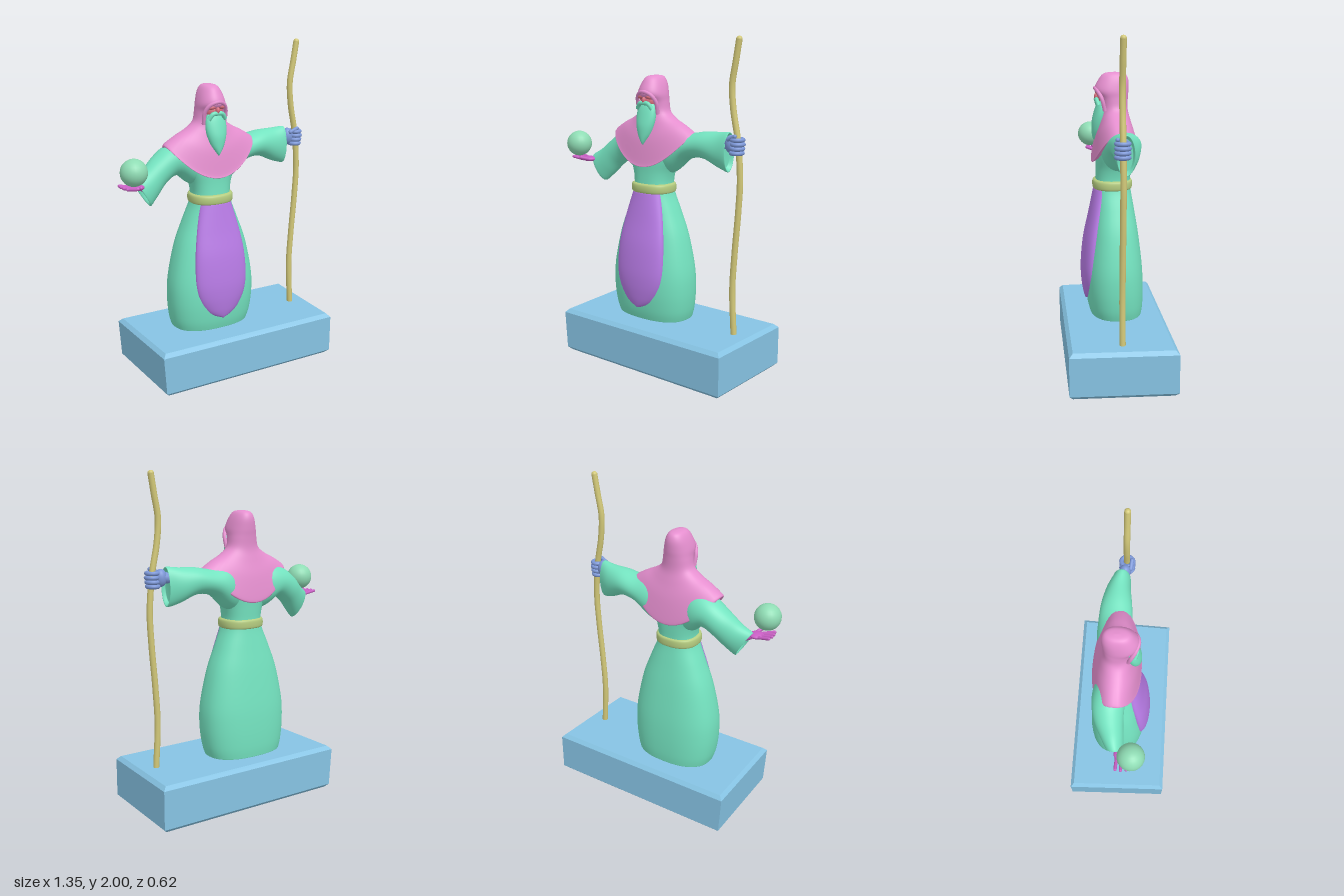
import * as THREE from 'three';

const V = (x, y, z) => new THREE.Vector3(x, y, z);
const MID = -0.06; // centre line of the figure
const COLORS = {
  robe: 0x74e3c0, hood: 0xe58fcf, apron: 0xb87be6, base: 0x86c3e3, staff: 0xd2c878,
  belt: 0xb5cc80, ball: 0x8fdcb4, fist: 0x7d98d8, palm: 0xc95fc4, face: 0xd8707f,
};
const MATS = Object.fromEntries(Object.entries(COLORS).map(
  ([k, color]) => [k, new THREE.MeshStandardMaterial({ color })]));

function add(parent, name, geometry, mat) {
  const m = new THREE.Mesh(geometry, MATS[mat]);
  m.name = name;
  parent.add(m);
  return m;
}

// Smooth interpolation between neighbouring key rows
function blend(keys, i, t) {
  const k = (j) => keys[Math.min(Math.max(j, 0), keys.length - 1)];
  const [a, b, c, d] = [k(i - 1), k(i), k(i + 1), k(i + 2)];
  return b.map((_, n) => b[n] + 0.5 * t * (c[n] - a[n]
    + t * (2 * a[n] - 5 * b[n] + 4 * c[n] - d[n] + t * (3 * (b[n] - c[n]) + d[n] - a[n]))));
}

// Closed skin through key rows; ring(row, angle) gives a point
function loft(keys, ring, sides = 40, steps = 5) {
  const rows = [];
  for (let i = 0; i < keys.length - 1; i++)
    for (let s = 0; s < steps; s++) rows.push(blend(keys, i, s / steps));
  rows.push(keys[keys.length - 1]);
  const pts = [], idx = [];
  for (const row of rows)
    for (let j = 0; j < sides; j++) pts.push(ring(row, (j / sides) * Math.PI * 2));
  for (let i = 0; i < rows.length - 1; i++)
    for (let j = 0; j < sides; j++) {
      const a = i * sides + j, b = i * sides + (j + 1) % sides;
      idx.push(a, b, a + sides, b, b + sides, a + sides);
    }
  // End caps
  for (const [start, flip] of [[0, true], [(rows.length - 1) * sides, false]]) {
    const c = V(0, 0, 0);
    for (let j = 0; j < sides; j++) c.addScaledVector(pts[start + j], 1 / sides);
    const n = pts.push(c) - 1;
    for (let j = 0; j < sides; j++) {
      const a = start + j, b = start + (j + 1) % sides;
      idx.push(...(flip ? [b, a, n] : [a, b, n]));
    }
  }
  // Turn the faces outward if the enclosed volume is negative
  let vol = 0;
  const tmp = V(0, 0, 0);
  for (let i = 0; i < idx.length; i += 3)
    vol += pts[idx[i]].dot(tmp.crossVectors(pts[idx[i + 1]], pts[idx[i + 2]]));
  if (vol < 0) idx.reverse();
  const g = new THREE.BufferGeometry().setFromPoints(pts);
  g.setIndex(idx);
  g.computeVertexNormals();
  return g;
}

const power = (v, e) => Math.sign(v) * Math.abs(v) ** e;
// Level oval ring from row [y, half width, z back, z front]
const oval = (e = 1) => ([y, w, z0, z1], a) =>
  V(MID + w * power(Math.cos(a), e), y, (z0 + z1) / 2 + (z1 - z0) / 2 * power(Math.sin(a), e));
// Sleeve ring from row [top x, top y, bottom x, bottom y, z centre, half depth]
const sleeveRing = ([tx, ty, bx, by, z, d], a) => V(
  (tx + bx) / 2 + (tx - bx) / 2 * Math.cos(a), (ty + by) / 2 + (ty - by) / 2 * Math.cos(a),
  z + d * Math.sin(a));
// Cape ring from row [y at shoulders, front/back drop, half width, z back, z front]
const capeRing = ([y, drop, w, z0, z1], a) => V(
  MID + w * Math.cos(a), y - drop * Math.sin(a) ** 2,
  (z0 + z1) / 2 + (z1 - z0) / 2 * power(Math.sin(a), 0.85));

const tube = (points, r, n = 24, sides = 10) =>
  new THREE.TubeGeometry(new THREE.CatmullRomCurve3(points), n, r, sides);
function blob(parent, name, mat, pos, size) {
  const m = add(parent, name, new THREE.SphereGeometry(1, 24, 16), mat);
  m.position.set(...pos);
  m.scale.set(...size);
  return m;
}
// Round-ended finger between two points
function finger(parent, name, mat, a, b, r) {
  const m = add(parent, name, new THREE.CapsuleGeometry(r, a.distanceTo(b), 4, 10), mat);
  m.position.copy(a).add(b).multiplyScalar(0.5);
  m.quaternion.setFromUnitVectors(V(0, 1, 0), b.clone().sub(a).normalize());
}

export function createModel() {
  const model = new THREE.Group();
  model.name = 'robedFigure';

  // Bevelled plinth, slightly skewed in plan and narrower at the foot
  const bev = 0.022;
  const plan = new THREE.Shape([[-0.52, -0.288], [0.63, -0.288], [0.648, 0.288], [-0.538, 0.288]]
    .map((p) => new THREE.Vector2(...p)));
  const base = new THREE.ExtrudeGeometry(plan, {
    depth: 0.275 - 2 * bev, bevelSize: bev, bevelThickness: bev, bevelSegments: 1 });
  base.rotateX(-Math.PI / 2).translate(0, bev, 0);
  const bp = base.attributes.position;
  for (let i = 0; i < bp.count; i++)
    if (bp.getX(i) < 0 && bp.getY(i) < 0.1) bp.setX(i, bp.getX(i) + 0.016);
  base.computeVertexNormals();
  add(model, 'plinth', base, 'base');

  // Robe from hem to shoulders
  add(model, 'robe', loft([
    [0.27, 0.245, -0.185, 0.135], [0.34, 0.264, -0.192, 0.152], [0.46, 0.276, -0.193, 0.163],
    [0.6, 0.27, -0.185, 0.158], [0.8, 0.228, -0.16, 0.132], [0.95, 0.172, -0.135, 0.11],
    [1.08, 0.122, -0.115, 0.1], [1.18, 0.128, -0.118, 0.095], [1.27, 0.165, -0.125, 0.095],
    [1.36, 0.2, -0.13, 0.08], [1.44, 0.17, -0.12, 0.05], [1.52, 0.06, -0.07, 0.03],
  ], oval(0.82)), 'robe');

  // Front panel
  add(model, 'apron', loft([
    [0.352, 0.015, 0.1, 0.163], [0.375, 0.075, 0.09, 0.172], [0.42, 0.12, 0.08, 0.182],
    [0.5, 0.157, 0.075, 0.191], [0.6, 0.172, 0.07, 0.191], [0.75, 0.166, 0.06, 0.175],
    [0.9, 0.142, 0.04, 0.143], [1.08, 0.1, 0.0, 0.108],
  ], oval()), 'apron');

  // Belt
  add(model, 'belt', loft([
    [1.06, 0.12, -0.11, 0.1], [1.066, 0.133, -0.124, 0.113], [1.09, 0.136, -0.127, 0.117],
    [1.112, 0.132, -0.124, 0.113], [1.12, 0.118, -0.11, 0.1],
  ], oval(0.85)), 'belt');

  // Sleeves, each ending in a recessed cuff
  add(model, 'leftSleeve', loft([
    [-0.04, 1.44, -0.02, 1.16, -0.02, 0.08], [0.08, 1.45, 0.08, 1.19, -0.035, 0.11],
    [0.19, 1.435, 0.18, 1.275, -0.045, 0.1], [0.3, 1.452, 0.29, 1.293, -0.045, 0.09],
    [0.4, 1.457, 0.395, 1.252, -0.04, 0.072], [0.465, 1.464, 0.463, 1.232, -0.027, 0.055],
    [0.475, 1.458, 0.471, 1.24, -0.026, 0.049], [0.455, 1.44, 0.45, 1.26, -0.026, 0.04],
  ], sleeveRing), 'robe');
  add(model, 'rightSleeve', loft([
    [-0.08, 1.44, -0.1, 1.16, -0.02, 0.08], [-0.22, 1.45, -0.195, 1.18, -0.035, 0.11],
    [-0.335, 1.408, -0.27, 1.235, -0.055, 0.095], [-0.42, 1.347, -0.345, 1.195, -0.05, 0.085],
    [-0.49, 1.285, -0.405, 1.13, -0.03, 0.07], [-0.547, 1.248, -0.452, 1.083, -0.012, 0.055],
    [-0.553, 1.238, -0.462, 1.088, -0.01, 0.048], [-0.525, 1.235, -0.455, 1.11, -0.012, 0.04],
  ], sleeveRing), 'robe');

  // Hood flowing into a pointed shoulder cape
  add(model, 'hoodAndCape', loft([
    [1.766, 0, 0.004, -0.03, -0.01], [1.757, 0, 0.04, -0.082, 0.045],
    [1.72, 0, 0.064, -0.103, 0.078], [1.66, 0, 0.082, -0.104, 0.102],
    [1.61, 0, 0.086, -0.1, 0.068], [1.55, 0.01, 0.1, -0.1, 0.06],
    [1.51, 0.04, 0.15, -0.118, 0.075], [1.475, 0.1, 0.22, -0.145, 0.1],
    [1.435, 0.185, 0.285, -0.165, 0.117], [1.418, 0.192, 0.293, -0.162, 0.122],
    [1.416, 0.186, 0.28, -0.148, 0.106],
  ], capeRing, 48), 'hood');
  add(model, 'hoodRim', tube([V(-0.128, 1.54, 0.045), V(-0.13, 1.61, 0.062), V(-0.105, 1.655, 0.085),
    V(MID, 1.672, 0.098), V(-0.015, 1.655, 0.085), V(0.01, 1.61, 0.062), V(0.008, 1.54, 0.045)], 0.012), 'hood');

  // Face, brows and nose
  const face = new THREE.Group();
  face.name = 'face';
  model.add(face);
  blob(face, 'faceMass', 'face', [MID, 1.615, 0.035], [0.058, 0.05, 0.05]);
  for (const s of [-1, 1])
    blob(face, 'brow', 'face', [MID + s * 0.026, 1.642, 0.076], [0.03, 0.014, 0.018]).rotation.z = -s * 0.2;
  blob(face, 'nose', 'face', [MID, 1.622, 0.09], [0.012, 0.02, 0.014]);

  // Moustache and beard
  for (const s of [-1, 1])
    add(face, 'moustache', tube([V(MID, 1.605, 0.09), V(MID + s * 0.03, 1.602, 0.09),
      V(MID + s * 0.055, 1.57, 0.08)], 0.013, 12), 'robe');
  add(face, 'beard', loft([
    [1.605, 0.045, 0.03, 0.075], [1.57, 0.062, 0.03, 0.092], [1.52, 0.067, 0.03, 0.108],
    [1.47, 0.06, 0.035, 0.119], [1.42, 0.043, 0.05, 0.12], [1.38, 0.018, 0.075, 0.116],
    [1.36, 0.004, 0.095, 0.108],
  ], oval(), 28), 'robe');

  // Wavy staff with rounded ends
  const path = [[0.545, 0.27], [0.53, 0.545], [0.54, 0.757], [0.56, 1.02], [0.567, 1.2],
    [0.548, 1.42], [0.513, 1.6], [0.503, 1.735], [0.525, 1.87], [0.543, 1.982]].map(([x, y]) => V(x, y, 0));
  const staff = new THREE.Group();
  staff.name = 'staff';
  model.add(staff);
  add(staff, 'staffShaft', tube(path, 0.018, 80, 12), 'staff');
  blob(staff, 'staffTip', 'staff', [0.543, 1.982, 0], [0.018, 0.018, 0.018]);

  // Left fist gripping the staff
  const fist = new THREE.Group();
  fist.name = 'leftHand';
  model.add(fist);
  finger(fist, 'wrist', 'fist', V(0.43, 1.395, -0.015), V(0.48, 1.4, -0.01), 0.032);
  blob(fist, 'handBack', 'fist', [0.497, 1.4, -0.008], [0.036, 0.052, 0.036]);
  for (let i = 0; i < 4; i++) {
    const f = add(fist, 'grippingFinger', new THREE.TorusGeometry(0.031, 0.0125, 10, 24), 'fist');
    f.rotation.x = Math.PI / 2;
    f.scale.y = 1.1;
    f.position.set(0.549 - 0.003 * Math.abs(i - 2), 1.354 + i * 0.025, 0.002);
  }
  finger(fist, 'thumb', 'fist', V(0.5, 1.43, 0.025), V(0.545, 1.45, 0.03), 0.012);

  // Right hand, open and palm up
  const palm = new THREE.Group();
  palm.name = 'rightHand';
  model.add(palm);
  finger(palm, 'wrist', 'palm', V(-0.48, 1.185, 0), V(-0.53, 1.208, 0.015), 0.02);
  blob(palm, 'palm', 'palm', [-0.56, 1.215, 0.035], [0.045, 0.017, 0.045]);
  for (let i = 0; i < 4; i++)
    finger(palm, 'finger', 'palm', V(-0.58, 1.215, 0.008 + i * 0.022),
      V(-0.635 - 0.02 * Math.sin(1 + i * 0.6), 1.229, 0.004 + i * 0.031), 0.0095);
  finger(palm, 'thumb', 'palm', V(-0.54, 1.215, 0.06), V(-0.565, 1.23, 0.11), 0.0105);

  // Orb above the palm
  blob(model, 'orb', 'ball', [-0.597, 1.318, 0.088], [0.079, 0.079, 0.079]);

  return model;
}
